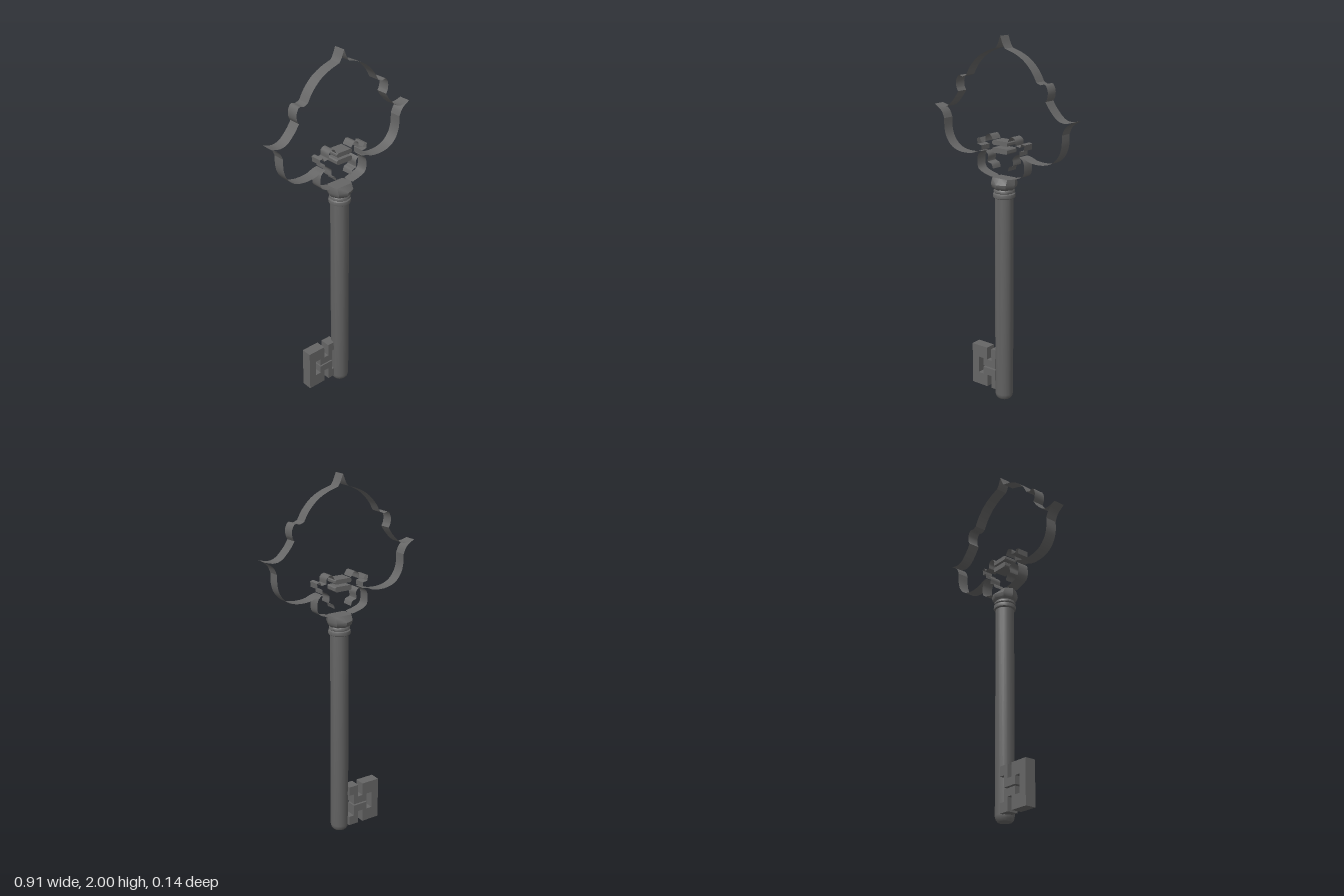
import * as THREE from 'three';
import { toCreasedNormals } from 'three/addons/utils/BufferGeometryUtils.js';

const iron = new THREE.MeshStandardMaterial({ color: 0x666666, side: THREE.DoubleSide });
iron.name = 'dark iron';

function part(name, geometry, parent) {
  const mesh = new THREE.Mesh(geometry, iron);
  mesh.name = name;
  parent.add(mesh);
  return mesh;
}

// open band following a list of [x, y] points, spanning z = -depth..depth
function ribbon(points, depth) {
  const pos = [], index = [];
  points.forEach((p, i) => {
    pos.push(p.x, p.y, depth, p.x, p.y, -depth);
    if (i) {
      const a = 2 * i - 2;
      index.push(a, a + 1, a + 2, a + 1, a + 3, a + 2);
    }
  });
  const g = new THREE.BufferGeometry();
  g.setAttribute('position', new THREE.Float32BufferAttribute(pos, 3));
  g.setIndex(index);
  g.computeVertexNormals();
  return toCreasedNormals(g, 0.7);
}

const smooth = (pts, n) =>
  new THREE.SplineCurve(pts.map(([x, y]) => new THREE.Vector2(x, y))).getPoints(n);
const straight = (pts) => pts.map(([x, y]) => new THREE.Vector2(x, y));

export function createModel() {
  const key = new THREE.Group();
  key.name = 'key';

  // shaft with rounded tip and neck ring
  const profile = straight([
    [0, 0], [0.036, 0], [0.046, 0.012], [0.05, 0.03], [0.05, 1.155], [0.059, 1.16],
    [0.061, 1.17], [0.059, 1.18], [0.051, 1.185], [0.057, 1.19], [0.057, 1.198], [0.052, 1.205],
  ]);
  part('shaft', toCreasedNormals(new THREE.LatheGeometry(profile, 16), 0.7), key);

  // collar whose top is flattened in depth to meet the bow
  const collar = new THREE.LatheGeometry(straight([
    [0.05, 1.2], [0.066, 1.215], [0.071, 1.235], [0.071, 1.265], [0, 1.266],
  ]), 8);
  const cp = collar.attributes.position;
  for (let i = 0; i < cp.count; i++) {
    if (cp.getY(i) > 1.25) cp.setZ(i, THREE.MathUtils.clamp(cp.getZ(i), -0.038, 0.038));
  }
  collar.computeVertexNormals();
  part('collar', toCreasedNormals(collar, 0.6), key);

  // bow: thin outline bands, mirrored left and right
  const bands = {
    bowCrest: smooth([[0, 2], [0.016, 1.96], [0.03, 1.938]], 6),
    bowShoulder: smooth([[0.03, 1.938], [0.09, 1.918], [0.15, 1.885], [0.2, 1.835], [0.23, 1.785]], 16),
    bowBump: smooth([[0.23, 1.785], [0.255, 1.775], [0.283, 1.78], [0.3, 1.75], [0.298, 1.715], [0.287, 1.695]], 14),
    bowUpperPoint: smooth([[0.287, 1.695], [0.315, 1.655], [0.36, 1.612], [0.405, 1.6], [0.457, 1.612]], 14),
    bowLowerPoint: smooth([[0.457, 1.612], [0.41, 1.58], [0.39, 1.54]], 8),
    bowLobe: smooth([[0.39, 1.54], [0.388, 1.48], [0.37, 1.43], [0.33, 1.39], [0.27, 1.372],
      [0.2, 1.374], [0.155, 1.39], [0.125, 1.395]], 24),
    bowFoot: smooth([[0.125, 1.395], [0.15, 1.375], [0.157, 1.34], [0.15, 1.3], [0.115, 1.28], [0.06, 1.266]], 16),
    bowScroll: smooth([[0.05, 1.465], [0.07, 1.492], [0.098, 1.48], [0.1, 1.45]], 10),
    bowTracery: straight([[0.1, 1.45], [0.13, 1.445], [0.14, 1.465], [0.158, 1.46], [0.155, 1.43],
      [0.127, 1.425], [0.127, 1.4]]),
    bowInnerCurl: smooth([[0.1, 1.4], [0.082, 1.38], [0.085, 1.345], [0.06, 1.335], [0.05, 1.31]], 12),
  };
  for (const side of [1, -1]) {
    const half = new THREE.Group();
    half.name = side > 0 ? 'leftBow' : 'rightBow';
    for (const [name, pts] of Object.entries(bands)) {
      part(name, ribbon(pts.map((p) => new THREE.Vector2(p.x * side, p.y)), 0.033), half);
    }
    key.add(half);
  }

  // two bars in the middle of the bow
  for (const y of [1.412, 1.452]) {
    const h = y < 1.43 ? 0.014 : 0.012, c = 0.006, w = 0.05;
    const bar = new THREE.Shape(straight([
      [-w + c, -h], [w - c, -h], [w, -h + c], [w, h - c],
      [w - c, h], [-w + c, h], [-w, h - c], [-w, -h + c],
    ]));
    const g = new THREE.ExtrudeGeometry(bar, { depth: 0.076, bevelEnabled: false });
    part('bowBar', g.translate(0, y, -0.038), key);
  }

  // bit: symmetric about its middle height
  const flip = (pts) => pts.map(([x, y]) => [x, 0.293 - y]).reverse();
  const outer = [[-0.03, 0.265], [-0.09, 0.265], [-0.09, 0.193], [-0.12, 0.193], [-0.12, 0.265], [-0.227, 0.265]];
  const inner = [[-0.182, 0.194], [-0.148, 0.194], [-0.148, 0.151], [-0.062, 0.151], [-0.062, 0.213], [-0.03, 0.213]];
  const bit = new THREE.Shape(straight([...outer, ...flip(outer), ...flip(inner), ...inner]));
  const bitGeometry = new THREE.ExtrudeGeometry(bit, { depth: 0.06, bevelEnabled: false });
  part('bit', bitGeometry.translate(0, 0, -0.055), key);

  return key;
}
